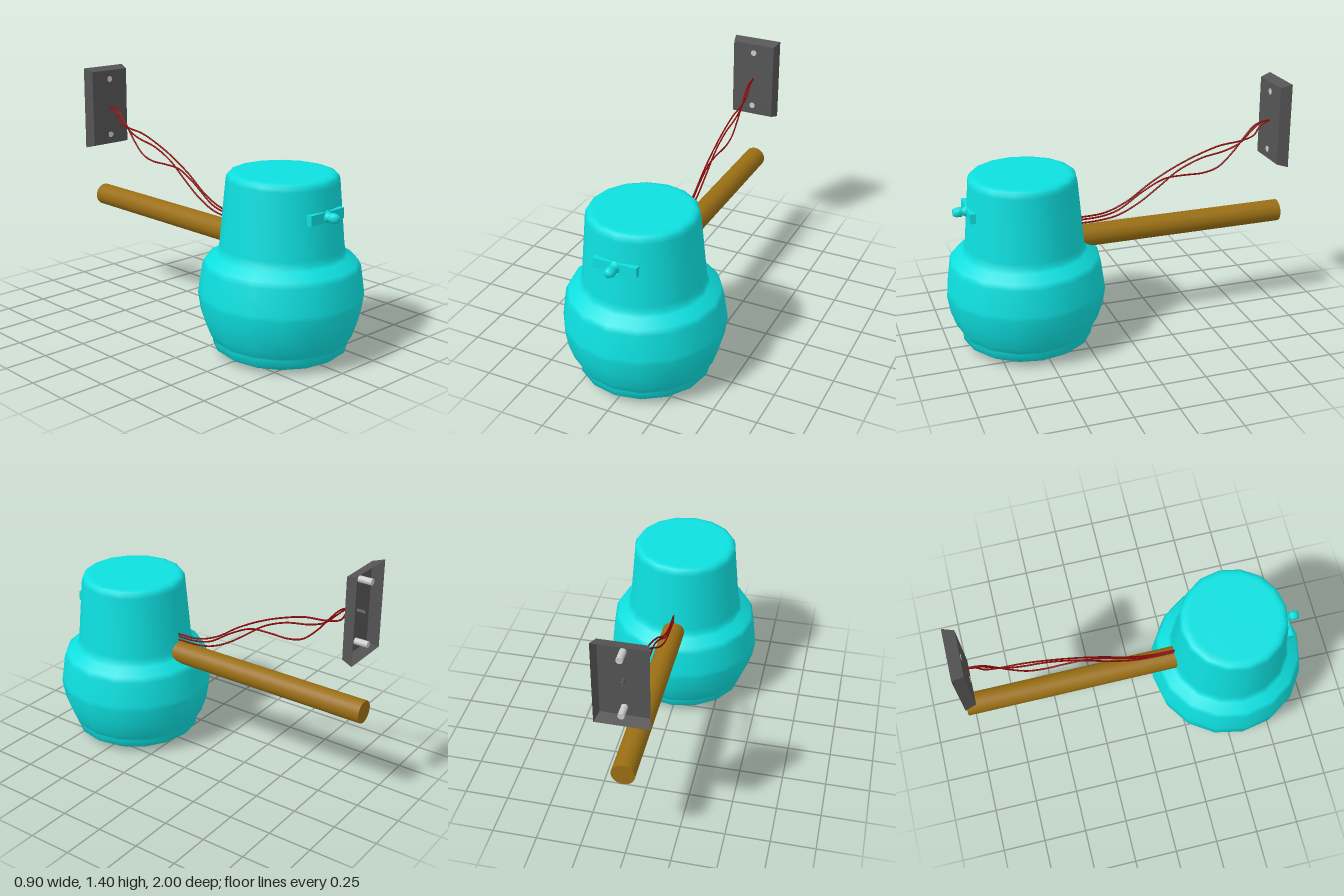
import * as THREE from 'three';

const mat = (color, side = THREE.FrontSide) => new THREE.MeshStandardMaterial({ color, side });
const teal = mat(0x0edfdf), wood = mat(0x9a6f14), dark = mat(0x555555, THREE.DoubleSide);
const red = mat(0x8c0808), grey = mat(0xcccccc);

function add(group, name, geometry, material, x = 0, y = 0, z = 0) {
  const mesh = new THREE.Mesh(geometry, material);
  mesh.name = name;
  mesh.position.set(x, y, z);
  group.add(mesh);
  return mesh;
}

const lathe = (points, sides) =>
  new THREE.LatheGeometry(points.map(([r, y]) => new THREE.Vector2(r, y)), sides);

// Cylinder running along z between two depths
function rod(r, z0, z1, sides, open = false) {
  return new THREE.CylinderGeometry(r, r, Math.abs(z1 - z0), sides, 1, open)
    .rotateX(Math.PI / 2).translate(0, 0, (z0 + z1) / 2);
}

// Round pot with a narrower neck and a slightly domed base
function addPot(root) {
  add(root, 'pot', lathe([
    [0, 0], [0.18, 0.003], [0.32, 0.015], [0.335, 0.022], [0.368, 0.045], [0.372, 0.085],
    [0.38, 0.1], [0.405, 0.14], [0.435, 0.23], [0.45, 0.325], [0.448, 0.35], [0.427, 0.495],
    [0.412, 0.525], [0.355, 0.56], [0.341, 0.58], [0.335, 0.61], [0.303, 0.965],
    [0.299, 0.985], [0.288, 1.0], [0.27, 1.006], [0.25, 1.007], [0, 1.007],
  ], 16), teal, 0, 0, 0.55);
}

// Flat bracket with a short nozzle on the front of the neck
function addTap(root) {
  const tap = new THREE.Group();
  tap.name = 'tap';
  tap.position.set(0, 0.822, 0);
  add(tap, 'tapPlate', new THREE.BoxGeometry(0.25, 0.056, 0.033), teal, 0, 0, 0.854);
  const nozzle = lathe([
    [0.036, 0.865], [0.02, 0.886], [0.029, 0.896], [0.029, 0.918], [0.021, 0.94], [0, 0.941],
  ], 8).rotateX(Math.PI / 2);
  add(tap, 'nozzle', nozzle, teal);
  root.add(tap);
}

// Hollow wall plate: tapered sides, open at the back, pierced for the wires
function addWallPlate(root) {
  const plate = new THREE.Group();
  plate.name = 'wallPlate';
  plate.position.set(0, 1.155, 0);
  const front = -0.922, back = -0.986;

  const sides = new THREE.BoxGeometry(2, 2, 1);
  sides.setIndex(Array.from(sides.index.array).slice(0, 24));
  const p = sides.attributes.position;
  for (let i = 0; i < p.count; i++) {
    const f = p.getZ(i) > 0;
    p.setXYZ(i, p.getX(i) * (f ? 0.129 : 0.145), p.getY(i) * (f ? 0.227 : 0.245), f ? front : back);
  }
  sides.computeVertexNormals();
  add(plate, 'plateSides', sides, dark);

  const face = new THREE.Shape([[-1, -1], [1, -1], [1, 1], [-1, 1]]
    .map(([x, y]) => new THREE.Vector2(x * 0.129, y * 0.227)));
  face.holes.push(new THREE.Path().absarc(0, 0, 0.009, 0, Math.PI * 2, true));
  add(plate, 'plateFace', new THREE.ShapeGeometry(face, 6), dark, 0, 0, front);
  add(plate, 'wireSleeve', rod(0.01, front, -0.965, 12, true), dark);

  for (const y of [0.173, -0.173]) add(plate, 'screw', rod(0.018, -0.92, -0.998, 16), grey, 0, y);
  root.add(plate);
}

// Three loose wires from the neck to the wall plate, as [z, y] points
function addWires(root) {
  const paths = [
    [[0.24, 0.7], [0.08, 0.71], [-0.05, 0.76], [-0.2, 0.86], [-0.35, 0.94], [-0.5, 1.0],
      [-0.62, 1.035], [-0.75, 1.05], [-0.83, 1.075], [-0.87, 1.13], [-0.93, 1.158]],
    [[0.24, 0.685], [0.1, 0.69], [0, 0.715], [-0.15, 0.81], [-0.28, 0.872], [-0.4, 0.88],
      [-0.52, 0.88], [-0.61, 0.905], [-0.7, 0.985], [-0.77, 1.07], [-0.84, 1.14], [-0.93, 1.16]],
    [[0.24, 0.664], [0.1, 0.668], [0, 0.685], [-0.12, 0.74], [-0.25, 0.83], [-0.36, 0.91],
      [-0.5, 0.97], [-0.65, 1.0], [-0.74, 1.035], [-0.81, 1.1], [-0.87, 1.15], [-0.93, 1.155]],
  ];
  for (const path of paths) {
    const curve = new THREE.CatmullRomCurve3(path.map(([z, y]) => new THREE.Vector3(0, y, z)));
    add(root, 'wire', new THREE.TubeGeometry(curve, 60, 0.005, 6), red);
  }
}

export function createModel() {
  const root = new THREE.Group();
  root.name = 'potWithHandle';
  addPot(root);
  addTap(root);
  add(root, 'handle', rod(0.064, 0.25, -1, 24), wood, 0, 0.588, 0);
  addWallPlate(root);
  addWires(root);
  return root;
}
